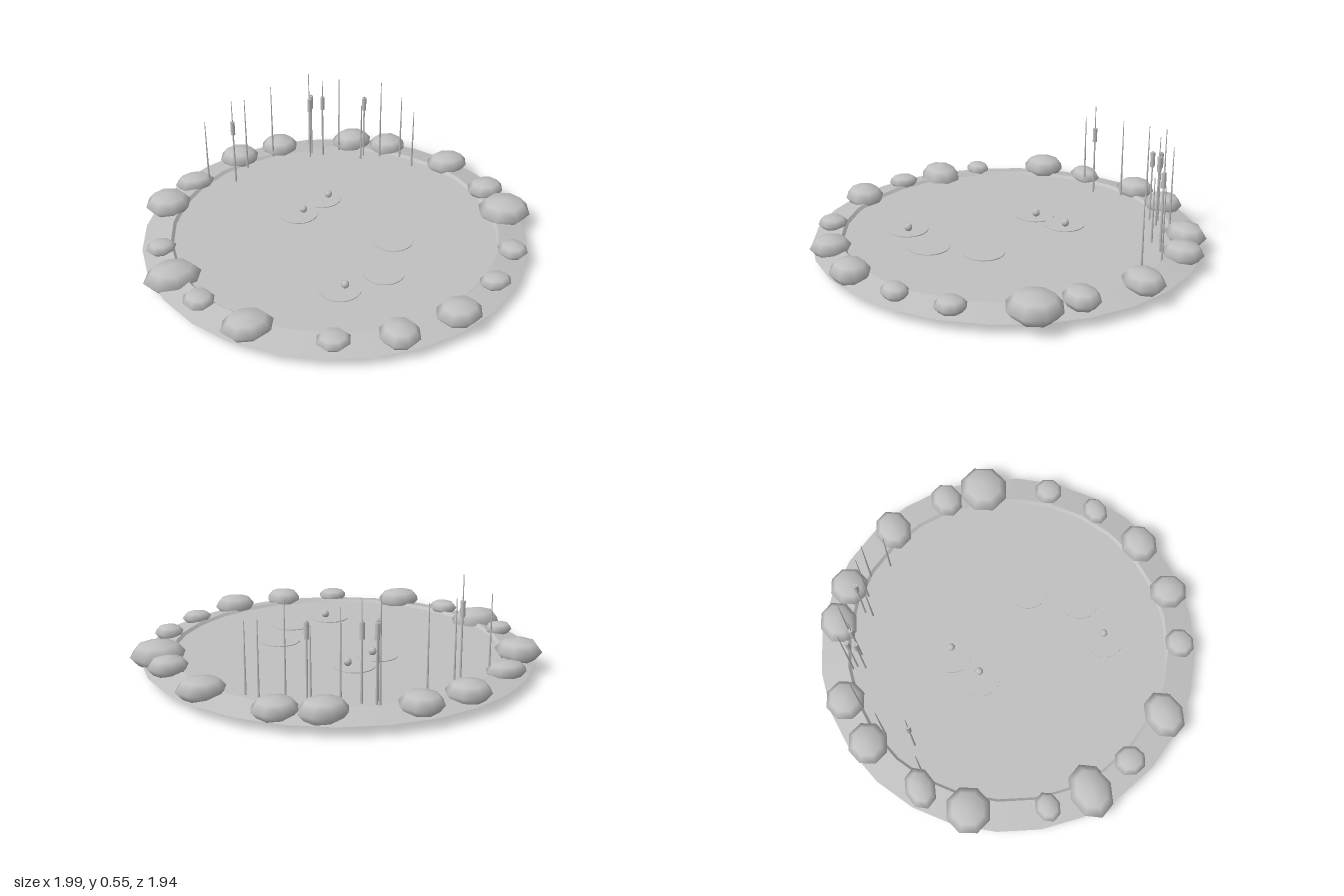
import * as THREE from 'three';

const stone = new THREE.MeshStandardMaterial({ color: 0xc0c0c0 });
stone.name = 'stone grey';

export function createModel() {
  const root = new THREE.Group();
  root.name = 'pond';

  function add(parent, name, geometry, x, y, z) {
    const mesh = new THREE.Mesh(geometry, stone);
    mesh.name = name;
    mesh.position.set(x, y, z);
    parent.add(mesh);
    return mesh;
  }
  function group(name) {
    const g = new THREE.Group();
    g.name = name;
    root.add(g);
    return g;
  }

  // Bank: flat underside, gently sloping top and a steep inner lip
  const SIDES = 28, CZ = -0.01;
  const ring = (a, b) => new THREE.LatheGeometry(
    [new THREE.Vector2(...a), new THREE.Vector2(...b)], SIDES);
  add(root, 'bankUnderside', ring([0, 0.05], [0.96, 0.05]), 0, 0, CZ);
  add(root, 'bankSlope', ring([0.96, 0.05], [0.82, 0.08]), 0, 0, CZ);
  add(root, 'bankLip', ring([0.82, 0.08], [0.805, 0.065]), 0, 0, CZ);

  // Water surface
  const water = add(root, 'water', new THREE.CircleGeometry(0.81, SIDES), 0, 0.066, CZ);
  water.rotation.x = -Math.PI / 2;

  // Border rocks: x, z, half width, half depth, centre height, half height
  const rocks = [
    [0.02, -0.88, 0.105, 0.1, 0.09, 0.055], [-0.23, -0.85, 0.11, 0.1, 0.09, 0.055],
    [-0.535, -0.69, 0.107, 0.075, 0.085, 0.045], [-0.725, -0.515, 0.118, 0.112, 0.1, 0.06],
    [-0.855, -0.155, 0.075, 0.062, 0.09, 0.035], [-0.86, 0.07, 0.14, 0.107, 0.07, 0.07],
    [-0.8, 0.305, 0.075, 0.08, 0.09, 0.035], [-0.655, 0.56, 0.123, 0.1, 0.09, 0.058],
    [-0.345, 0.795, 0.08, 0.075, 0.09, 0.035], [-0.065, 0.865, 0.095, 0.1, 0.087, 0.053],
    [0.24, 0.84, 0.112, 0.096, 0.09, 0.057], [0.505, 0.705, 0.08, 0.064, 0.09, 0.035],
    [0.71, 0.52, 0.075, 0.075, 0.088, 0.038], [0.855, 0.2, 0.137, 0.13, 0.09, 0.067],
    [0.865, -0.01, 0.1, 0.085, 0.098, 0.05], [0.81, -0.335, 0.117, 0.096, 0.093, 0.055],
    [0.595, -0.66, 0.107, 0.1, 0.085, 0.053], [0.425, -0.775, 0.117, 0.096, 0.09, 0.06],
  ];
  const rockGeometry = new THREE.SphereGeometry(1, 8, 4);
  const border = group('borderRocks');
  for (const [x, z, w, d, y, h] of rocks) {
    add(border, 'rock', rockGeometry, x, y, z).scale.set(w, h, d);
  }

  // Reed blades: x, z, top height
  const blades = [
    [-0.465, -0.655, 0.45], [-0.32, -0.64, 0.55], [-0.215, -0.755, 0.485],
    [-0.043, -0.815, 0.5], [0.17, -0.79, 0.55], [0.225, -0.725, 0.53],
    [0.33, -0.74, 0.51], [0.405, -0.6, 0.4], [0.515, -0.585, 0.525],
    [0.617, -0.535, 0.44], [0.635, -0.42, 0.4],
  ];
  const reeds = group('reeds');
  const BASE = 0.065;
  for (const [x, z, top] of blades) {
    const h = top - BASE;
    add(reeds, 'reedBlade', new THREE.CylinderGeometry(0.002, 0.006, h, 5), x, BASE + h / 2, z);
  }

  // Cattails: a thin stem with a fat head
  const stemGeometry = new THREE.CylinderGeometry(0.004, 0.005, 0.37, 6);
  const headGeometry = new THREE.CylinderGeometry(0.012, 0.012, 0.075, 8);
  for (const [x, z] of [[-0.32, -0.64], [0.15, -0.73], [0.173, -0.765], [0.225, -0.727], [0.435, -0.63]]) {
    add(reeds, 'cattailStem', stemGeometry, x, BASE + 0.185, z);
    add(reeds, 'cattailHead', headGeometry, x, 0.392, z);
  }

  // Lily pads and the buds sitting on three of them
  const lilies = group('lilies');
  const padGeometry = new THREE.CylinderGeometry(0.1, 0.1, 0.004, 24);
  for (const [x, z] of [[-0.12, -0.21], [0.05, -0.3], [-0.17, 0.455], [0.07, 0.42], [0.225, 0.197]]) {
    add(lilies, 'lilyPad', padGeometry, x, 0.069, z);
  }
  const budGeometry = new THREE.SphereGeometry(0.02, 8, 6);
  for (const [x, z] of [[-0.095, -0.205], [0.08, -0.29], [-0.147, 0.46]]) {
    add(lilies, 'lilyBud', budGeometry, x, 0.09, z);
  }

  return root;
}
